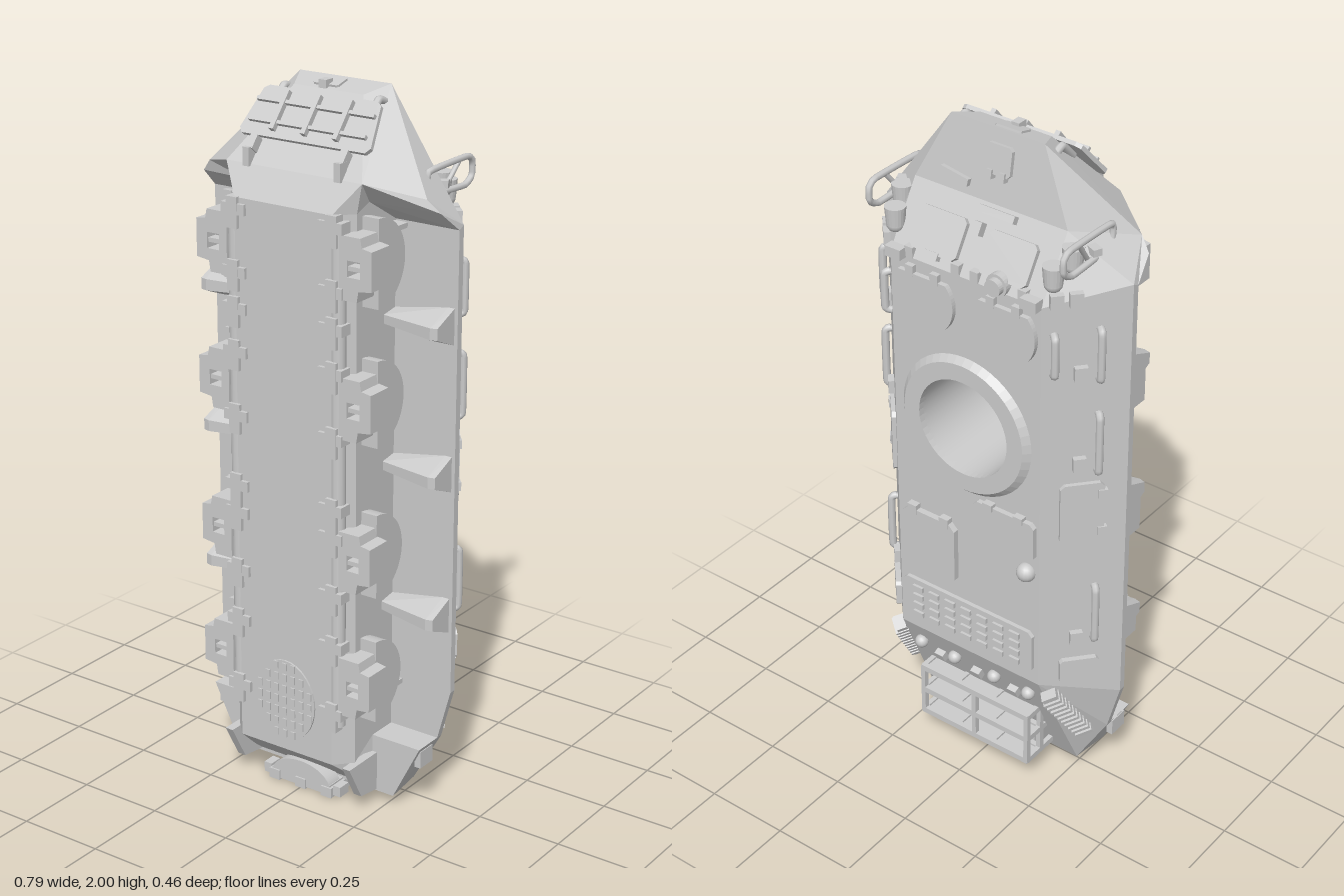
import * as THREE from 'three';
import { ConvexGeometry } from 'three/addons/geometries/ConvexGeometry.js';

const mat = new THREE.MeshStandardMaterial({ color: 0xcccccc, flatShading: true, side: THREE.DoubleSide });
const smooth = new THREE.MeshStandardMaterial({ color: 0xcccccc, side: THREE.DoubleSide });
const V = (x, y, z) => new THREE.Vector3(x, y, z);
const outline = pts => new THREE.Shape(pts.map(q => new THREE.Vector2(...q)));

export function createModel() {
  const root = new THREE.Group();
  root.name = 'armouredHull';

  function add(parent, name, geo, x = 0, y = 0, z = 0, m = mat) {
    const mesh = new THREE.Mesh(geo, m);
    mesh.name = name;
    mesh.position.set(x, y, z);
    parent.add(mesh);
    return mesh;
  }
  const box = (p, name, w, h, d, x, y, z) => add(p, name, new THREE.BoxGeometry(w, h, d), x, y, z);
  // Disc or stub whose axis is the local z
  const disc = (p, name, r, d, x, y, z, n = 24) =>
    add(p, name, new THREE.CylinderGeometry(r, r, d, n).rotateX(Math.PI / 2), x, y, z);
  const tube = (p, name, pts, r, closed = false) =>
    add(p, name, new THREE.TubeGeometry(new THREE.CatmullRomCurve3(pts, closed, 'catmullrom', 0.2), 32, r, 8, closed), 0, 0, 0, smooth);
  const plate = (p, name, shape, depth, x = 0, y = 0, z = 0) =>
    add(p, name, new THREE.ExtrudeGeometry(shape, { depth, bevelEnabled: false, curveSegments: 24 }), x, y, z);
  // Group lying on a surface: local y = up, local z = outward normal
  function frame(name, origin, up, normal) {
    const z = normal.clone().normalize();
    const x = up.clone().cross(z).normalize();
    const g = new THREE.Group();
    g.name = name;
    g.setRotationFromMatrix(new THREE.Matrix4().makeBasis(x, z.clone().cross(x), z));
    g.position.copy(origin);
    root.add(g);
    return g;
  }
  // Panel with cut corners
  function panel(p, name, w, h, x, y, d = 0.012) {
    const a = w / 2, b = h / 2, c = Math.min(w, h) * 0.1;
    return plate(p, name, outline([[-a + c, -b], [a - c, -b], [a, -b + c], [a, b - c], [a - c, b], [-a + c, b], [-a, b - c], [-a, -b + c]]), d, x, y);
  }

  // Hull corner points on the +x side
  const P = {
    R1: V(.24, 1.63, -.195), R2: V(.24, .41, -.195), G: V(.24, 1.8, -.088), T1: V(.145, 1.995, -.055), T2: V(.11, 1.975, .02),
    S1: V(.395, 1.67, -.02), S2: V(.348, 1.75, .08), S3: V(.38, 1.715, .065), B: V(.215, 1.79, .175), B2: V(.2, 1.73, .12),
    C: V(.155, 1.71, .222), C2: V(.2, 1.71, .175), W1: V(.395, 1.66, 0), W2: V(.2, 1.66, 0),
    E1: V(.395, .35, -.02), E2: V(.395, .35, 0), W3: V(.2, .2, 0), Q: V(.355, .2, -.02), Q2: V(.355, .2, 0),
    K1: V(.355, .2, .09), K2: V(.27, .03, .09), L: V(.26, .035, -.03),
    M: V(.2, .2, .09), N: V(.2, .04, .09), D: V(.155, .15, .222), D2: V(.2, .15, .175),
  };
  const tris = [];
  const mirror = v => V(-v.x, v.y, v.z);
  const fan = pts => {
    for (let i = 1; i < pts.length - 1; i++) tris.push(pts[0], pts[i], pts[i + 1]);
  };
  // Plates spanning the width, each between two mirrored edges
  for (const e of ['R1 G', 'G T1', 'T1 T2', 'T2 B', 'B C', 'C D', 'D N', 'N K2', 'K2 L', 'L R2']) {
    const [a, b] = e.split(' ').map(k => P[k]);
    fan([a, mirror(a), mirror(b), b]);
  }
  // Plates on both flanks
  for (const f of ['T1 T2 B S2', 'T1 S2 S1 G', 'G S1 R1', 'R1 S1 E1 R2', 'S1 S2 S3 W1', 'S1 W1 E2 E1', 'B S2 S3 B2', 'B2 S3 W1 W2',
    'W1 W2 W3 Q2 E2', 'B C C2 B2', 'C C2 D2 D', 'C2 B2 W2 W3', 'C2 W3 M D2', 'E1 E2 Q2 Q', 'W3 Q2 K1 M',
    'E1 Q L R2', 'Q K1 K2 L', 'K1 M N K2', 'D D2 M N']) {
    const pts = f.split(' ').map(k => P[k]);
    fan(pts);
    fan(pts.map(mirror).reverse());
  }
  // Turn every triangle outward from the middle of the hull
  for (let i = 0; i < tris.length; i += 3) {
    const [a, b, c] = tris.slice(i, i + 3);
    const n = b.clone().sub(a).cross(c.clone().sub(a));
    const mid = a.clone().add(b).add(c).divideScalar(3);
    if (n.dot(mid.clone().sub(V(0, THREE.MathUtils.clamp(mid.y, .4, 1.6), -.03))) < 0) [tris[i + 1], tris[i + 2]] = [c, b];
  }
  const hullGeo = new THREE.BufferGeometry().setFromPoints(tris);
  hullGeo.computeVertexNormals();
  add(root, 'hullShell', hullGeo);

  // Roof with turret opening, ring and well
  const ringY = 1.18;
  const roof = frame('roof', V(0, 0, -.195), V(0, 1, 0), V(0, 0, -1));
  const rs = outline([[-.24, .41], [.24, .41], [.24, 1.63], [-.24, 1.63]]);
  rs.holes.push(new THREE.Path().absarc(0, ringY, .145, 0, Math.PI * 2, true));
  add(roof, 'roofPlate', new THREE.ShapeGeometry(rs, 24));
  const ring = [[.145, -.01], [.145, .018], [.195, .018], [.212, 0]].map(q => new THREE.Vector2(...q));
  add(roof, 'turretRing', new THREE.LatheGeometry(ring, 48).rotateX(Math.PI / 2), 0, ringY, 0);
  add(roof, 'turretWell', new THREE.CylinderGeometry(.145, .145, .38, 40, 1, true).rotateX(Math.PI / 2), 0, ringY, -.19, smooth);

  // Roof hatches, panels and louvres (local x runs towards the model's right)
  for (const s of [-1, 1]) {
    plate(roof, 'crewHatch', new THREE.Shape().absarc(0, 0, .1, Math.PI * .78, Math.PI * 2.22), .014, s * .13, 1.53);
    for (const dx of [-.04, .04]) box(roof, 'hatchHinge', .025, .03, .018, s * .13 + dx, 1.6, .006);
    for (const dx of [.03, .18]) box(roof, 'visionBlock', .026, .03, .02, s * dx, 1.645, -.008);
    box(roof, 'cornerBlock', .05, .03, .03, s * .215, 1.64, .01);
  }
  panel(roof, 'largeRoofHatch', .18, .2, -.125, .74, .018);
  panel(roof, 'smallRoofHatch', .2, .12, .13, .9, .015);
  for (const x of [-.18, -.07]) box(roof, 'hatchHinge', .03, .03, .02, x, .84, .01);
  for (const x of [.08, .18]) box(roof, 'hatchHinge', .03, .02, .02, x, .96, .01);
  add(roof, 'ventDome', new THREE.SphereGeometry(.028, 16, 12), .2, .79, .004, smooth);
  disc(roof, 'periscope', .032, .025, .105, 1.65, -.005);
  disc(roof, 'periscopeCap', .024, .04, .105, 1.65, .005);
  panel(roof, 'enginePanel', .45, .14, 0, .52);
  for (let i = 0; i < 7; i++) for (let j = 0; j < 4; j++)
    box(roof, 'louvre', .034, .016, .012, -.168 + i * .056, .475 + j * .03, .014);

  // Upper glacis: windscreen covers and fittings
  const glacis = frame('glacis', V(0, 1.715, -.1415), V(0, .17, .107), V(0, .107, -.17));
  for (const s of [-1, 1]) {
    panel(glacis, 'windscreenCover', .148, .115, s * .11, -.015, .014);
    box(glacis, 'coverHinge', .045, .02, .02, s * .11, -.075, .008);
  }
  box(glacis, 'centreBracket', .025, .035, .03, 0, .03, .01);
  box(glacis, 'towCleat', .11, .02, .02, .04, .08, .01);
  const bow = frame('bowPlate', V(0, 1.9, -.072), V(0, .195, .033), V(0, .033, -.195));
  panel(bow, 'winchHatch', .08, .08, .02, .02);
  for (const d of [-.02, .02]) box(bow, 'hatchHinge', .016, .025, .022, .02 + d, -.02, .008);
  box(bow, 'bowHandle', .09, .02, .014, -.11, -.06, .006).rotation.z = -.15;
  panel(frame('noseTip', V(.02, 1.985, -.018), V(0, .02, -.075), V(0, .075, .02)), 'noseHatch', .08, .05, -.04, 0, .006);
  box(root, 'noseLatch', .024, .025, .03, -.02, 1.985, .005);

  // Folded trim vane with ribs on the lower prow
  const prow = frame('trimVane', V(0, 1.9, .085), V(0, .185, -.155), V(0, .155, .185));
  plate(prow, 'vanePlate', outline([[-.195, -.065], [.195, -.065], [.207, -.05], [.185, .07], [.17, .08], [-.17, .08], [-.185, .07], [-.207, -.05]]), .012);
  for (const y of [-.025, .035]) box(prow, 'vaneCrossRib', .37, .01, .014, 0, y, .017);
  for (const x of [-.1, 0, .1]) box(prow, 'vaneRib', .014, .115, .022, x, .01, .017);
  for (const s of [-1, 1]) {
    box(prow, 'vaneHinge', .022, .04, .03, s * .143, -.09, .01);
    tube(root, 'towHook', [V(s * .15, 1.955, -.02), V(s * .15, 1.965, .01), V(s * .15, 1.92, .055)], .011);
  }

  // Oval grille on the belly
  disc(root, 'bellyGrille', .1, .01, 0, .305, .222, 32).scale.y = 1.2;
  for (let i = -3; i <= 3; i++) for (let j = -3; j <= 3; j++)
    if ((i * .028 / .095) ** 2 + (j * .034 / .115) ** 2 < 1) box(root, 'grilleBar', .014, .022, .008, i * .028, .305 + j * .034, .227);

  // Parts repeated on both flanks
  for (const s of [-1, 1]) {
    // Suspension arms with a slotted face, and round hub shields
    const arm = outline([[.18, -.085], [.235, -.085], [.24, -.055], [.28, -.05], [.28, .055], [.25, .06], [.245, .085], [.18, .085]]
      .map(([x, y]) => [s * x, y]));
    arm.holes.push(new THREE.Path([[.205, -.022], [.245, -.022], [.245, .022], [.205, .022]].map(([x, y]) => new THREE.Vector2(s * x, y))));
    for (const y of [1.58, 1.2, .77, .4]) {
      const half = new THREE.Shape().absarc(0, 0, .12, -Math.PI / 2, Math.PI / 2);
      plate(root, 'hubShield', half, .05, s > 0 ? .2 : -.25, y, .15).rotation.y = Math.PI / 2;
      plate(root, 'suspensionArm', arm, .08, 0, y, .145);
      box(root, 'armPin', .06, .012, .03, s * .215, y, .205);
    }
    for (const y of [1.65, .345]) box(root, 'endStay', .04, .014, .17, s * .22, y, .09);
    // Torsion rail and brackets along the belly edge
    add(root, 'torsionRail', new THREE.CylinderGeometry(.02, .02, 1.42, 12), s * .165, .98, .205, smooth);
    for (const y of [1.67, 1.5, 1.4, 1.28, 1.1, .9, .82, .65, .5, .3]) {
      box(root, 'bellyBracket', .035, .085, .045, s * .158, y, .21);
      box(root, 'bellyCrossPiece', .075, .03, .04, s * .155, y + .01, .212);
    }
    box(root, 'chinLug', .02, .05, .03, s * .145, 1.81, .17);
    // Cheek plates framing the tail recess
    add(root, 'tailCheek', new ConvexGeometry([.19, .215].flatMap(x =>
      [[.15, .222], [.045, .165], [.035, .09], [.15, .09]].map(([y, z]) => V(s * x, y, z)))));
    // Tapered damper housings under the sponson
    for (const y of [1.4, .99, .58]) {
      const pts = [];
      for (const [x, b, t, h] of [[.195, .02, .012, .05], [.365, .05, .016, .085], [.385, .05, .016, .08]])
        pts.push(V(s * x, y - b, 0), V(s * x, y + b, 0), V(s * x, y - t, h), V(s * x, y + t, h));
      add(root, 'damperHousing', new ConvexGeometry(pts));
    }
    // Headlamps and their guard loop
    for (const [x, y, z] of [[.25, 1.715, -.16], [.27, 1.75, -.105]]) {
      add(root, 'headlamp', new THREE.CylinderGeometry(.029, .025, .05, 20), s * x, y, z);
      add(root, 'headlampBack', new THREE.SphereGeometry(.025, 16, 8), s * x, y - .025, z, smooth);
    }
    tube(root, 'lampGuard', [V(s * .305, 1.74, 0), V(s * .305, 1.8, .01), V(s * .305, 1.805, -.17), V(s * .305, 1.79, -.195),
      V(s * .305, 1.75, -.195), V(s * .305, 1.73, -.16)], .009, true);
    tube(root, 'guardStay', [V(s * .29, 1.71, -.06), V(s * .305, 1.8, -.13)], .007);
    box(root, 'lampBracket', .06, .02, .025, s * .29, 1.755, -.055).rotation.y = s * .4;

    // Sloping side plate: grab rails, hatches, small fittings; t runs up towards the roof
    const side = frame('sideFittings', V(s * .3175, 0, -.1075), V(0, 1, 0), V(s * .748, 0, -.663));
    for (const [t, y, len] of [[-.035, 1.48, .15], [-.035, 1.21, .18], [-.035, .65, .18], [.085, 1.49, .12]]) {
      const x = s * t;
      tube(side, 'grabRail', [V(x, y - len / 2, 0), V(x, y - len / 2 + .01, .018), V(x, y + len / 2 - .01, .018), V(x, y + len / 2, 0)], .011);
    }
    panel(side, 'sideHatch', .12, .19, s * .005, .99);
    for (const y of [.93, 1.05]) box(side, 'hatchHinge', .025, .025, .016, s * -.05, y, .008);
    panel(side, 'rearSideHatch', .11, .08, s * .005, .455, .016);
    for (const [t, y] of [[.015, 1.43], [.015, 1.15], [.015, .57], [.03, 1.65], [.08, 1.65]])
      box(side, 'sideFitting', .035, .04, .018, s * t, y, .008);

    // Ribbed exhaust cover on the rear corner
    const exhaust = frame('exhaustCover', V(s * .283, .28, -.115), V(s * -.035, .2, -.14), V(s * .053, -.024, -.054));
    box(exhaust, 'exhaustBase', .045, .24, .03, 0, 0, .004);
    for (let i = 0; i < 10; i++) box(exhaust, 'exhaustRib', .052, .011, .04, 0, -.1 + i * .022, .006);
    box(root, 'rearSideStep', .02, .05, .06, s * .34, .16, .045);
    box(root, 'rearLug', .025, .03, .04, s * .12, .022, .13);
  }

  // Rear plate: lamps, fittings and the stowage rack
  const rear = frame('rearPlate', V(0, .22, -.1125), V(0, .375, -.165), V(0, -.165, -.375));
  for (const x of [-.19, -.07, .07, .19]) add(rear, 'rearLamp', new THREE.SphereGeometry(.02, 14, 10), x, .135, .008, smooth);
  for (const x of [-.13, 0, .13]) box(rear, 'rearFitting', .03, .03, .02, x, .1, .008);
  for (const y of [.085, .165, .245]) {
    for (const z of [-.11, -.172]) box(root, 'rackRail', .38, .018, .016, 0, y, z);
    for (const x of [-.185, -.062, .062, .185]) box(root, 'rackArm', .014, .018, .12, x, y, -.115);
    box(root, 'rackShelf', .37, .006, .06, 0, y, -.14);
  }
  for (const z of [-.11, -.172]) for (const x of [-.185, 0, .185]) box(root, 'rackPost', .014, .17, .016, x, .165, z);

  // Water jet outlet at the tail
  plate(root, 'jetCover', new THREE.Shape().absarc(0, 0, .1, 0, Math.PI), .05, 0, .022, .105).scale.y = .6;
  box(root, 'jetFlap', .2, .03, .17, 0, .02, .07);
  for (const x of [-.09, 0, .09]) box(root, 'flapHinge', .035, .03, .19, x, .015, .065);
  return root;
}
